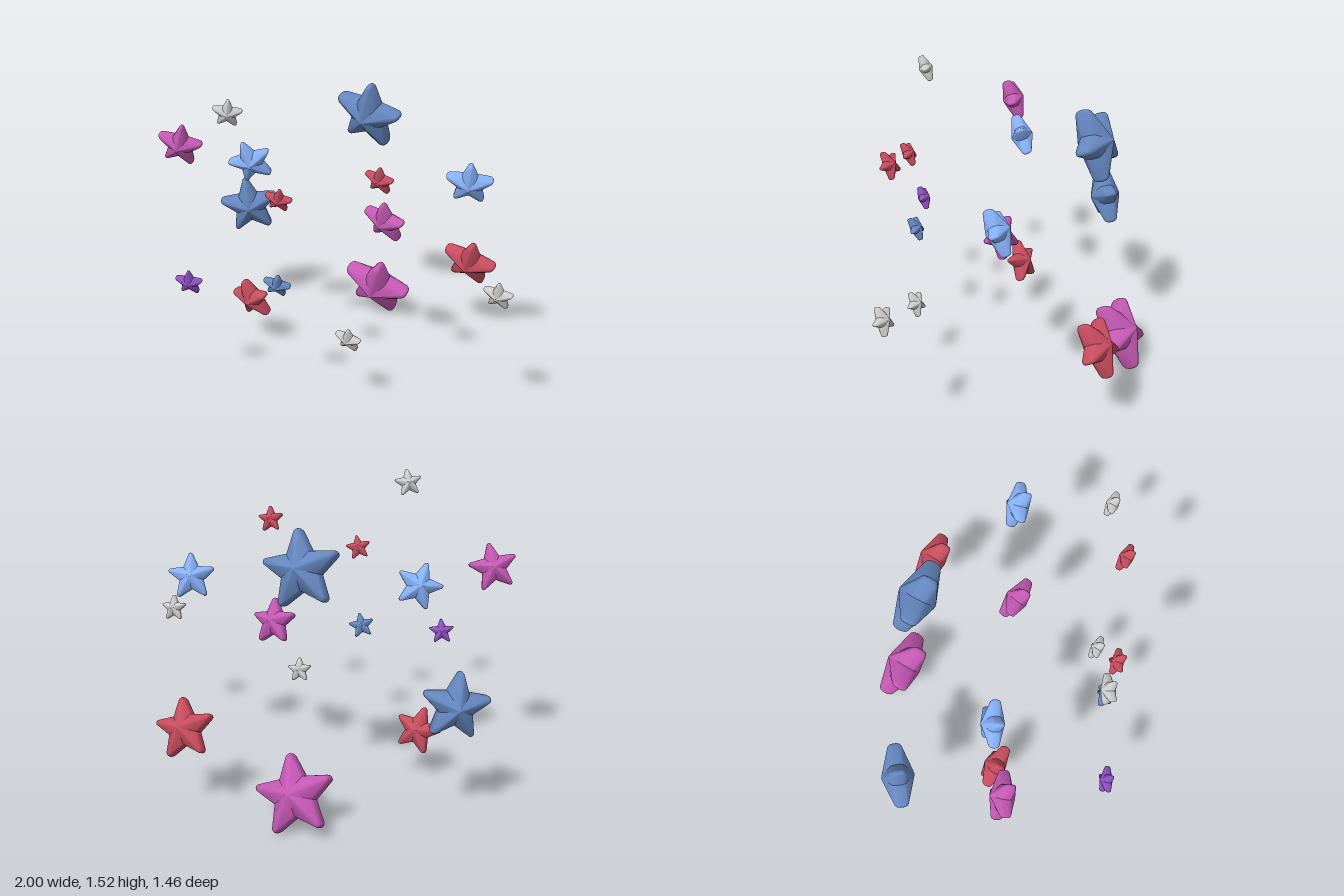
import * as THREE from 'three';
import { toCreasedNormals } from 'three/addons/utils/BufferGeometryUtils.js';

const COLORS = {
  grey: 0xcccccc, blue: 0x6486bf, lightBlue: 0x86b0f8,
  red: 0xc84c5e, magenta: 0xc458b4, purple: 0x8e50c0,
};

// x, y, z, radius, yaw, pitch, roll (degrees), colour
const STARS = [
  [-0.30, 1.45, 0.57, 0.072, 30, 20, -7, 'grey'],
  [0.42, 1.215, 0.41, 0.072, 0, 24, -11, 'red'],
  [-0.15, 1.24, -0.415, 0.19, 0, 20, -13, 'blue'],
  [-0.845, 1.14, 0.30, 0.12, 20, 20, -13, 'magenta'],
  [-0.53, 1.055, 0.12, 0.118, 27, 18, 20, 'lightBlue'],
  [-0.035, 1.075, 0.55, 0.067, 15, 28, -13, 'red'],
  [0.56, 1.05, -0.20, 0.12, 20, 24, -4, 'lightBlue'],
  [0.175, 0.82, -0.05, 0.12, -8, 25, -10, 'magenta'],
  [0.925, 0.70, 0.20, 0.073, 3, 20, -6, 'grey'],
  [-0.855, 0.635, -0.262, 0.166, 32, 6, 8, 'blue'],
  [-0.475, 0.61, 0.70, 0.07, 20, 20, -4, 'purple'],
  [-0.065, 0.635, 0.54, 0.07, 15, 28, -14, 'blue'],
  [0.37, 0.435, -0.63, 0.153, 0, 29, -17, 'red'],
  [0.245, 0.37, 0.395, 0.07, 0, 24, -10, 'grey'],
  [-0.55, 0.28, 0.125, 0.122, -3, 21, 9, 'red'],
  [-0.19, 0.178, -0.58, 0.2, 0, 29, -19, 'magenta'],
];

// Five rounded tips with plain valleys between them, tip radius 1
function starOutline() {
  const points = [];
  const round = 0.09, inner = 0.52;
  for (let tip = 0; tip < 5; tip++) {
    const a = Math.PI / 2 + tip * Math.PI * 2 / 5;
    for (let k = -2; k <= 2; k++) {
      const b = a + k * 0.54;
      points.push(new THREE.Vector2(
        (1 - round) * Math.cos(a) + round * Math.cos(b),
        (1 - round) * Math.sin(a) + round * Math.sin(b)));
    }
    const v = a + Math.PI / 5;
    points.push(new THREE.Vector2(inner * Math.cos(v), inner * Math.sin(v)));
  }
  return points;
}

// Puffed star: rings scaled from the outline, from the front peak to the back peak
function starGeometry() {
  const outline = starOutline();
  const n = outline.length;
  const rings = [
    [0, 0.5], [0.1, 0.475], [0.92, 0.205], [0.975, 0.15], [1, 0.06],
    [1, -0.06], [0.975, -0.15], [0.92, -0.205], [0.1, -0.475], [0, -0.5],
  ];
  const positions = [], index = [];
  for (const [scale, z] of rings) {
    for (const p of outline) positions.push(p.x * scale, p.y * scale, z);
  }
  for (let r = 0; r < rings.length - 1; r++) {
    for (let i = 0; i < n; i++) {
      const j = (i + 1) % n;
      const a = r * n + i, b = r * n + j, c = a + n, d = b + n;
      if (r < rings.length - 2) index.push(a, c, d);
      if (r > 0) index.push(a, d, b);
      if (r === rings.length - 2) continue;
    }
  }
  const geometry = new THREE.BufferGeometry();
  geometry.setAttribute('position', new THREE.Float32BufferAttribute(positions, 3));
  geometry.setIndex(index);
  return toCreasedNormals(geometry, 0.6);
}

export function createModel() {
  const model = new THREE.Group();
  model.name = 'starCluster';
  const geometry = starGeometry();
  const materials = {};
  for (const key in COLORS) {
    materials[key] = new THREE.MeshStandardMaterial({ color: COLORS[key] });
  }
  const rad = THREE.MathUtils.degToRad;
  STARS.forEach(([x, y, z, radius, yaw, pitch, roll, color], i) => {
    const star = new THREE.Mesh(geometry, materials[color]);
    star.name = `${color}Star${i + 1}`;
    star.position.set(x, y, z);
    star.rotation.set(rad(pitch), rad(yaw), rad(roll), 'YXZ');
    star.scale.setScalar(radius);
    model.add(star);
  });
  return model;
}
